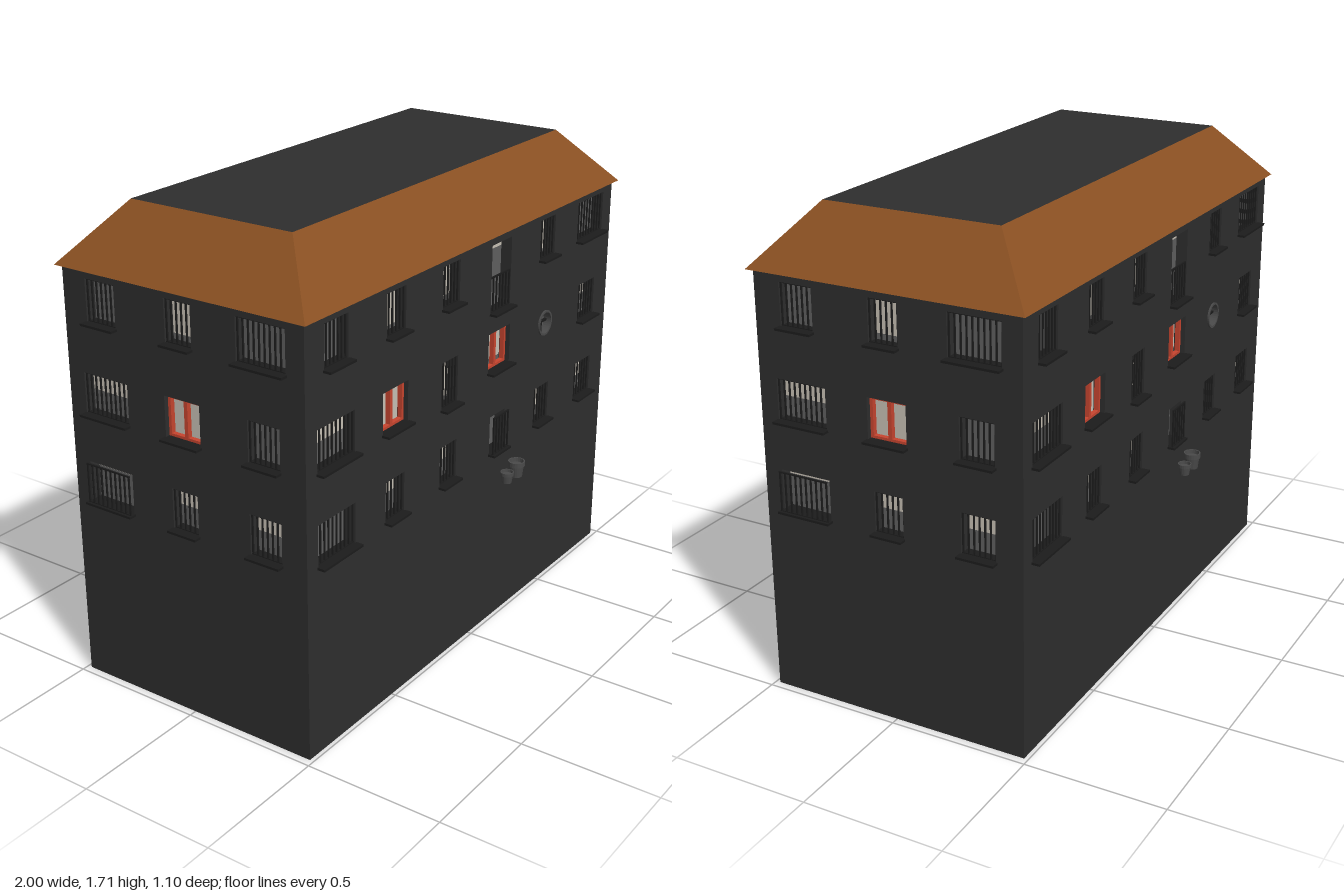
import * as THREE from 'three';
import { mergeGeometries } from 'three/addons/utils/BufferGeometryUtils.js';

const mat = (color, side = THREE.FrontSide) => new THREE.MeshStandardMaterial({ color, side });
const M = {
  wall: mat(0x2e2e2e, THREE.DoubleSide),
  iron: mat(0x1c1c1c),
  glass: mat(0x606060, THREE.DoubleSide),
  blind: mat(0xc9c2b6, THREE.DoubleSide),
  red: mat(0xc8452f),
  pot: mat(0x4a4a4a, THREE.DoubleSide),
  roof: mat(0x8a5022),
};
const HX = 0.972, HZ = 0.485, WALL_H = 1.503, DEPTH = 0.045;

function mesh(name, geometry, material, parent) {
  const m = new THREE.Mesh(geometry, material);
  m.name = name;
  parent.add(m);
  return m;
}
// Box given by its limits
const box = (x0, x1, y0, y1, z0, z1) =>
  new THREE.BoxGeometry(x1 - x0, y1 - y0, z1 - z0).translate((x0 + x1) / 2, (y0 + y1) / 2, (z0 + z1) / 2);

function rectPath(x0, x1, y0, y1, Type = THREE.Path) {
  const p = new Type();
  p.moveTo(x0, y0);
  p.lineTo(x1, y0);
  p.lineTo(x1, y1);
  p.lineTo(x0, y1);
  p.closePath();
  return p;
}
const circlePath = (x, y, r, Type = THREE.Path) => new Type().absarc(x, y, r, 0, Math.PI * 2);

// Upright bars between two rails
function grille(x0, x1, y0, y1, z, parent) {
  const n = Math.max(5, Math.round((x1 - x0) / 0.022)), parts = [];
  for (let i = 0; i <= n; i++) {
    const x = x0 + 0.003 + (x1 - x0 - 0.006) * i / n;
    parts.push(box(x - 0.0025, x + 0.0025, y0, y1, z - 0.0025, z + 0.0025));
  }
  for (const y of [y0, y1 - 0.005]) parts.push(box(x0, x1, y, y + 0.005, z - 0.003, z + 0.003));
  mesh('windowBars', mergeGeometries(parts), M.iron, parent);
}

// Recess, pane, blind, sill and either bars or a red casement
function addWindow([x0, x1, y0, y1, blind, kind = 'bars'], parent) {
  const g = new THREE.Group();
  g.name = 'window';
  parent.add(g);
  const t = 0.005;
  const ring = rectPath(x0 - t, x1 + t, y0 - t, y1 + t, THREE.Shape);
  ring.holes.push(rectPath(x0, x1, y0, y1));
  const reveal = new THREE.ExtrudeGeometry(ring, { depth: DEPTH, bevelEnabled: false });
  mesh('windowReveal', reveal.translate(0, 0, -DEPTH - 0.001), M.wall, g);

  const split = y1 - (y1 - y0) * blind;
  if (blind < 1) mesh('windowPane', box(x0, x1, y0, split, -DEPTH - 0.003, -DEPTH + 0.002), M.glass, g);
  if (blind > 0) mesh('windowBlind', box(x0, x1, split, y1, -DEPTH - 0.003, -DEPTH + 0.002), M.blind, g);
  mesh('windowSill', box(x0 - 0.005, x1 + 0.005, y0 - 0.006, y0 + 0.002, -DEPTH, 0.028), M.iron, g);

  if (kind === 'red') {
    const f = 0.011, xm = (x0 + x1) / 2, z0 = -0.035, z1 = -0.018;
    mesh('casementFrame', mergeGeometries([
      box(x0, x0 + f, y0, y1, z0, z1),
      box(x1 - f, x1, y0, y1, z0, z1),
      box(xm - 0.007, xm + 0.007, y0, y1, z0, z1),
      box(x0, x1, y0, y0 + f, z0, z1),
      box(x0, x1, y1 - f, y1, z0, z1),
    ]), M.red, g);
  } else if (kind === 'tall') {
    grille(x0, x1, y0, y0 + 0.13, -0.006, g);
  } else {
    grille(x0, x1, y0, y1, kind === 'outer' ? 0.015 : -0.01, g);
  }
}

// Small round window with a cross
function addRoundWindow(x, y, r, parent) {
  const g = new THREE.Group();
  g.name = 'roundWindow';
  parent.add(g);
  const ring = circlePath(x, y, r + 0.006, THREE.Shape);
  ring.holes.push(circlePath(x, y, r - 0.002));
  const geo = new THREE.ExtrudeGeometry(ring, { depth: DEPTH + 0.006, bevelEnabled: false, curveSegments: 16 });
  mesh('roundFrame', geo.translate(0, 0, -DEPTH), M.pot, g);
  mesh('roundPane', new THREE.CircleGeometry(r, 24).translate(x, y, -0.025), M.glass, g);
  mesh('roundCross', mergeGeometries([
    box(x - r, x + r, y - 0.004, y + 0.004, -0.022, -0.012),
    box(x - 0.004, x + 0.004, y - r, y + r, -0.022, -0.012),
  ]), M.iron, g);
}

function addFacade(name, halfWidth, distance, angle, windows, round, parent) {
  const g = new THREE.Group();
  g.name = name;
  const shape = rectPath(-halfWidth, halfWidth, 0, WALL_H, THREE.Shape);
  for (const [x0, x1, y0, y1] of windows) shape.holes.push(rectPath(x0, x1, y0, y1));
  if (round) shape.holes.push(circlePath(...round));
  mesh('wall', new THREE.ShapeGeometry(shape, 16), M.wall, g);
  for (const w of windows) addWindow(w, g);
  if (round) addRoundWindow(...round, g);
  g.position.set(Math.sin(angle) * distance, 0, Math.cos(angle) * distance);
  g.rotation.y = angle;
  parent.add(g);
  return g;
}

// Flower pot with a thick rim
function addPot(x, r, h, parent) {
  const pts = [[0, 0], [0.72, 0], [0.88, 0.68], [1, 0.7], [1, 1], [0.84, 1], [0.8, 0.75], [0, 0.75]];
  const profile = pts.map(([a, b]) => new THREE.Vector2(a * r, b * h));
  const pot = mesh('flowerPot', new THREE.LatheGeometry(profile, 20), M.pot, parent);
  pot.material.flatShading = true;
  pot.position.set(x, 0.55, 0.034);
}

// Hipped roof with a flat top
function addRoof(parent) {
  const loop = (x, y, z) => [[-x, y, z], [x, y, z], [x, y, -z], [-x, y, -z]];
  const low = loop(0.99, 1.502, 0.503), high = loop(0.808, 1.708, 0.323);
  const pos = [];
  const quad = (a, b, c, d) => pos.push(...a, ...b, ...c, ...a, ...c, ...d);
  for (let i = 0; i < 4; i++) {
    const j = (i + 1) % 4;
    quad(low[i], low[j], high[j], high[i]);
  }
  quad(low[3], low[2], low[1], low[0]);
  const geo = new THREE.BufferGeometry();
  geo.setAttribute('position', new THREE.Float32BufferAttribute(pos, 3));
  geo.computeVertexNormals();
  mesh('roofSlopes', geo, M.roof, parent);
  const deck = new THREE.PlaneGeometry(1.616, 0.646).rotateX(-Math.PI / 2).translate(0, 1.708, 0);
  mesh('roofDeck', deck, M.wall, parent);
}

export function createModel() {
  const house = new THREE.Group();
  house.name = 'house';
  const A = [1.325, 1.473], B = [1.0, 1.145], C = [0.68, 0.825];

  // Windows: left, right, bottom, top, share covered by the blind, kind
  const longSide = [
    [-0.875, -0.75, ...A, 0],
    [-0.545, -0.435, ...A, 0.9],
    [-0.218, -0.112, ...A, 0.85],
    [0.092, 0.225, 1.22, 1.467, 0.15, 'tall'],
    [0.43, 0.538, ...A, 0.9],
    [0.71, 0.908, ...A, 0],
    [-0.915, -0.715, ...B, 0.5],
    [-0.563, -0.418, ...B, 1, 'red'],
    [-0.215, -0.113, 0.965, 1.135, 0.9],
    [0.087, 0.233, ...B, 0.85, 'red'],
    [0.745, 0.873, ...B, 0.45],
    [-0.915, -0.715, ...C, 0.2],
    [-0.545, -0.435, ...C, 0.5],
    [-0.218, -0.112, ...C, 0.55],
    [0.112, 0.217, ...C, 0, 'outer'],
    [0.43, 0.538, ...C, 0.7],
    [0.745, 0.873, ...C, 0.6],
  ];
  const shortSide = [
    [-0.39, -0.265, ...A, 0],
    [-0.058, 0.05, ...A, 0.85],
    [0.225, 0.415, ...A, 0],
    [-0.42, -0.23, ...B, 0.5],
    [-0.073, 0.072, ...B, 1, 'red'],
    [0.262, 0.388, ...B, 0.1],
    [-0.42, -0.23, ...C, 0.2, 'outer'],
    [-0.058, 0.05, ...C, 0.5],
    [0.262, 0.388, ...C, 0.5],
  ];

  // Opposite sides are the same, turned half round
  for (const [i, turn] of [0, Math.PI].entries()) {
    const long = addFacade(['frontFacade', 'backFacade'][i], HX, HZ, turn, longSide, [0.485, 1.073, 0.042], house);
    addPot(0.19, 0.025, 0.042, long);
    addPot(0.258, 0.031, 0.06, long);
    addFacade(['leftFacade', 'rightFacade'][i], HZ, HX, turn + Math.PI / 2, shortSide, null, house);
  }
  addRoof(house);
  return house;
}
